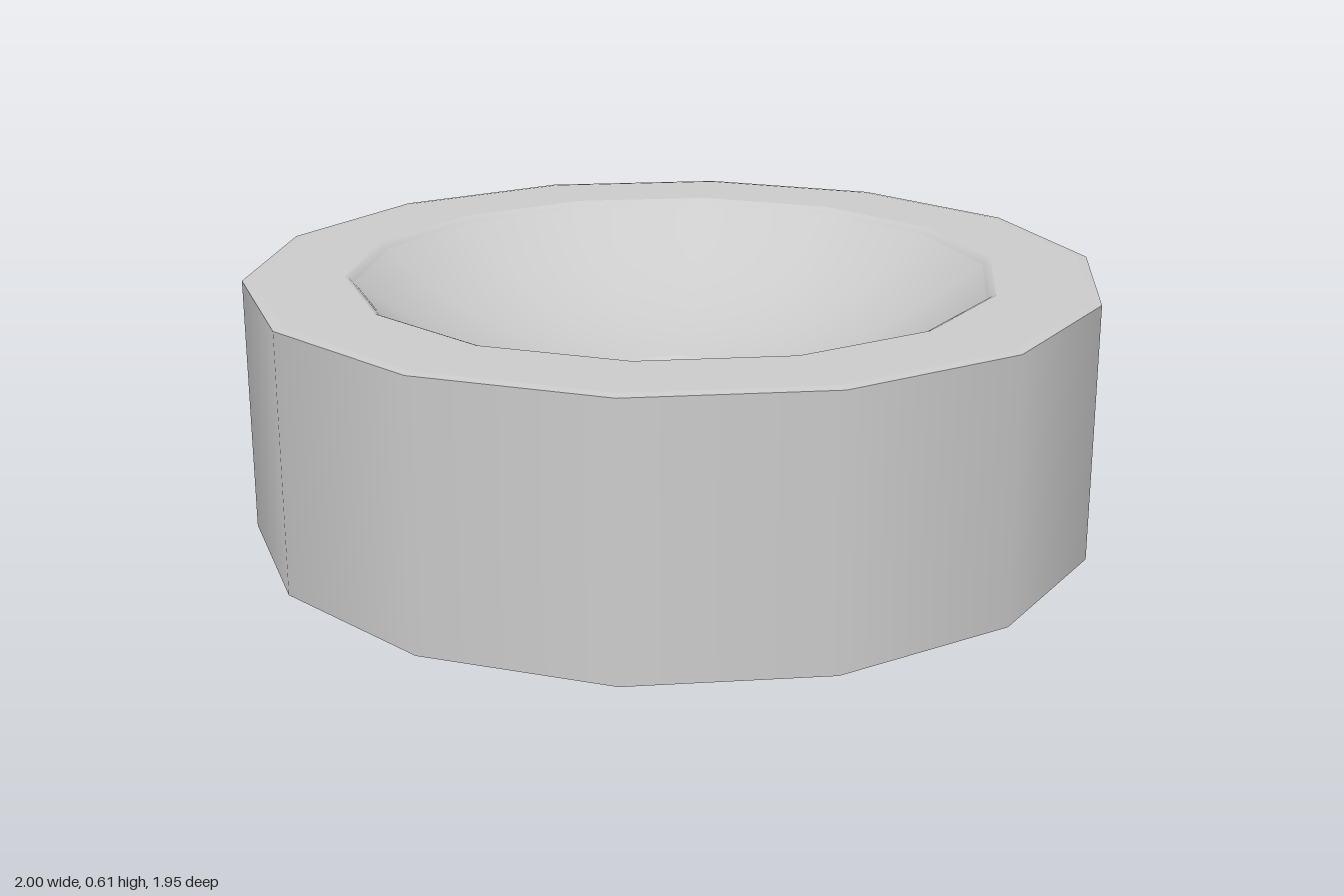
import * as THREE from 'three';

const SIDES = 14;

export function createModel() {
  const model = new THREE.Group();
  const material = new THREE.MeshStandardMaterial({ color: 0xcccccc, side: THREE.DoubleSide });

  // Revolve a profile of [radius, height] pairs, with a corner on the x axis
  const revolve = (name, profile) => {
    const points = profile.map(([r, y]) => new THREE.Vector2(r, y));
    const mesh = new THREE.Mesh(new THREE.LatheGeometry(points, SIDES, Math.PI / 2), material);
    mesh.name = name;
    model.add(mesh);
  };

  // Open-bottomed outer wall
  revolve('outerWall', [[1, 0], [1, 0.603]]);

  // Flat rim with a slight bevel on both edges
  revolve('outerRimBevel', [[1, 0.603], [0.977, 0.606]]);
  revolve('rim', [[0.977, 0.606], [0.765, 0.606]]);
  revolve('innerRimBevel', [[0.765, 0.606], [0.755, 0.602], [0.745, 0.592]]);

  // Shallow spherical bowl hanging from the rim
  const bowl = [];
  const radius = 1.2, edge = Math.asin(0.745 / radius), inner = Math.asin(0.155 / radius);
  const centreY = 0.592 + radius * Math.cos(edge);
  for (let i = 0; i <= 10; i++) {
    const a = edge + (inner - edge) * i / 10;
    bowl.push([radius * Math.sin(a), centreY - radius * Math.cos(a)]);
  }
  revolve('bowl', bowl);

  // Drain cup: rounded lip, tapered side, closed rounded bottom
  const lipY = bowl[10][1];
  revolve('drainCup', [
    [0.155, lipY], [0.14, lipY - 0.006], [0.128, lipY - 0.022], [0.122, lipY - 0.05],
    [0.115, lipY - 0.08], [0.1, lipY - 0.1], [0.065, lipY - 0.114], [0, lipY - 0.12],
  ]);

  return model;
}
